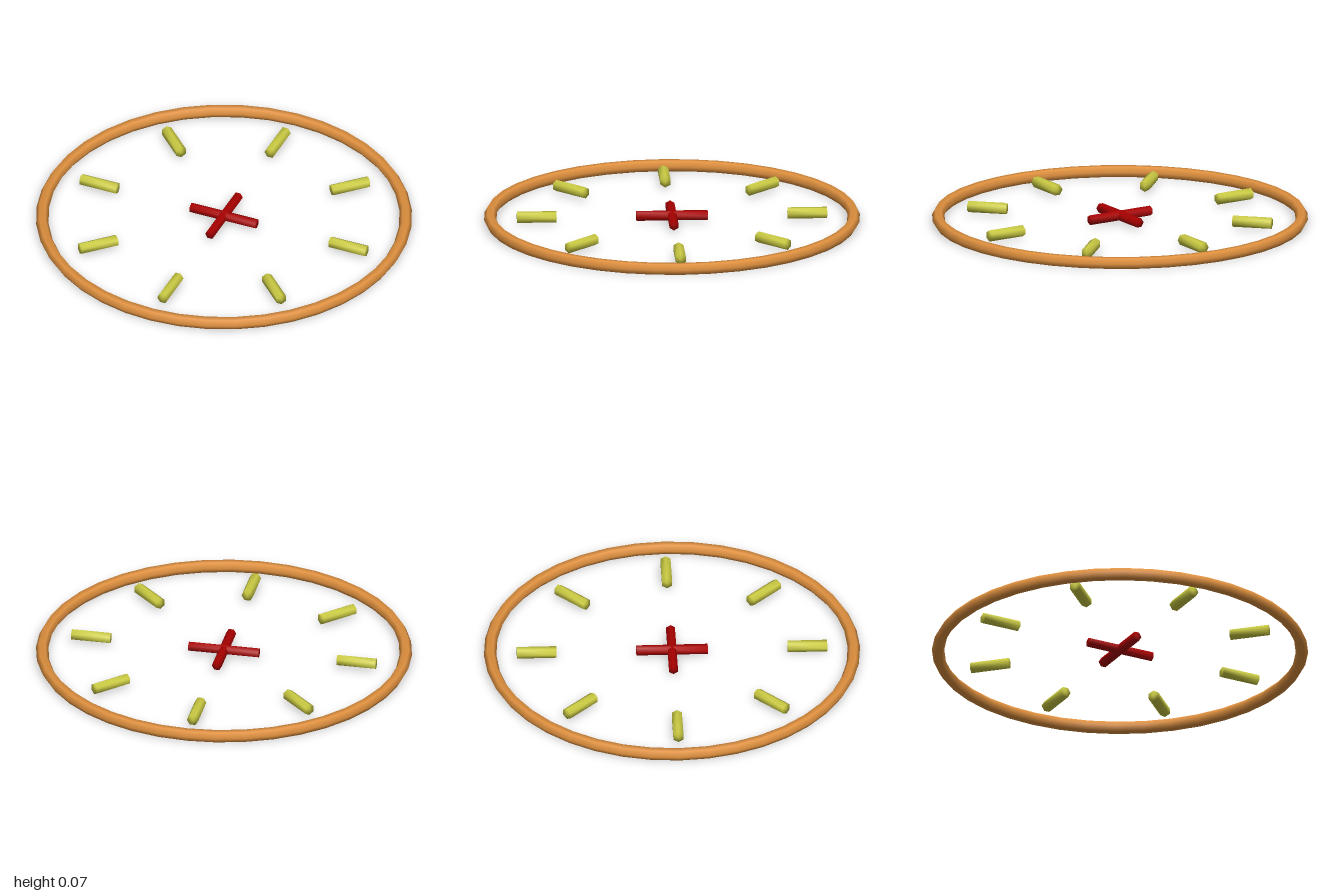
import * as THREE from 'three';
import { mergeVertices } from 'three/addons/utils/BufferGeometryUtils.js';

export function createModel() {
  const model = new THREE.Group();
  const orange = new THREE.MeshStandardMaterial({ name: 'warm orange', color: 0xe0913f });
  const yellow = new THREE.MeshStandardMaterial({ name: 'olive yellow', color: 0xcccc44 });
  const red = new THREE.MeshStandardMaterial({ name: 'dark red', color: 0xaa0000 });

  // Six-sided bar with softly shaded ends, lying at the given angle about y (0 = along z).
  // flatTop turns a flat side upward instead of an edge.
  function bar(name, material, radius, length, distance, y, angle, flatTop) {
    let geometry = new THREE.CylinderGeometry(radius, radius, length, 6);
    if (flatTop) geometry.rotateY(Math.PI / 6);
    geometry.rotateX(Math.PI / 2);
    geometry.deleteAttribute('normal');
    geometry.deleteAttribute('uv');
    geometry.clearGroups();
    geometry = mergeVertices(geometry);
    geometry.computeVertexNormals();
    const mesh = new THREE.Mesh(geometry, material);
    mesh.name = name;
    mesh.position.set(Math.sin(angle) * distance, y, Math.cos(angle) * distance);
    mesh.rotation.y = angle;
    model.add(mesh);
  }

  // Outer ring
  const ringGeometry = new THREE.TorusGeometry(0.967, 0.033, 6, 40);
  ringGeometry.rotateX(-Math.PI / 2);
  const ring = new THREE.Mesh(ringGeometry, orange);
  ring.name = 'outerRing';
  ring.position.y = 0.029;
  model.add(ring);

  // Eight radial markers
  for (let i = 0; i < 8; i++) {
    bar('marker' + (i + 1), yellow, 0.031, 0.21, 0.72, 0.041, (i * Math.PI) / 4, i % 4 === 0);
  }

  // Central cross
  bar('crossBarLong', red, 0.027, 0.38, 0, 0.038, 0, true);
  bar('crossBarWide', red, 0.027, 0.38, 0, 0.038, Math.PI / 2, false);

  return model;
}
